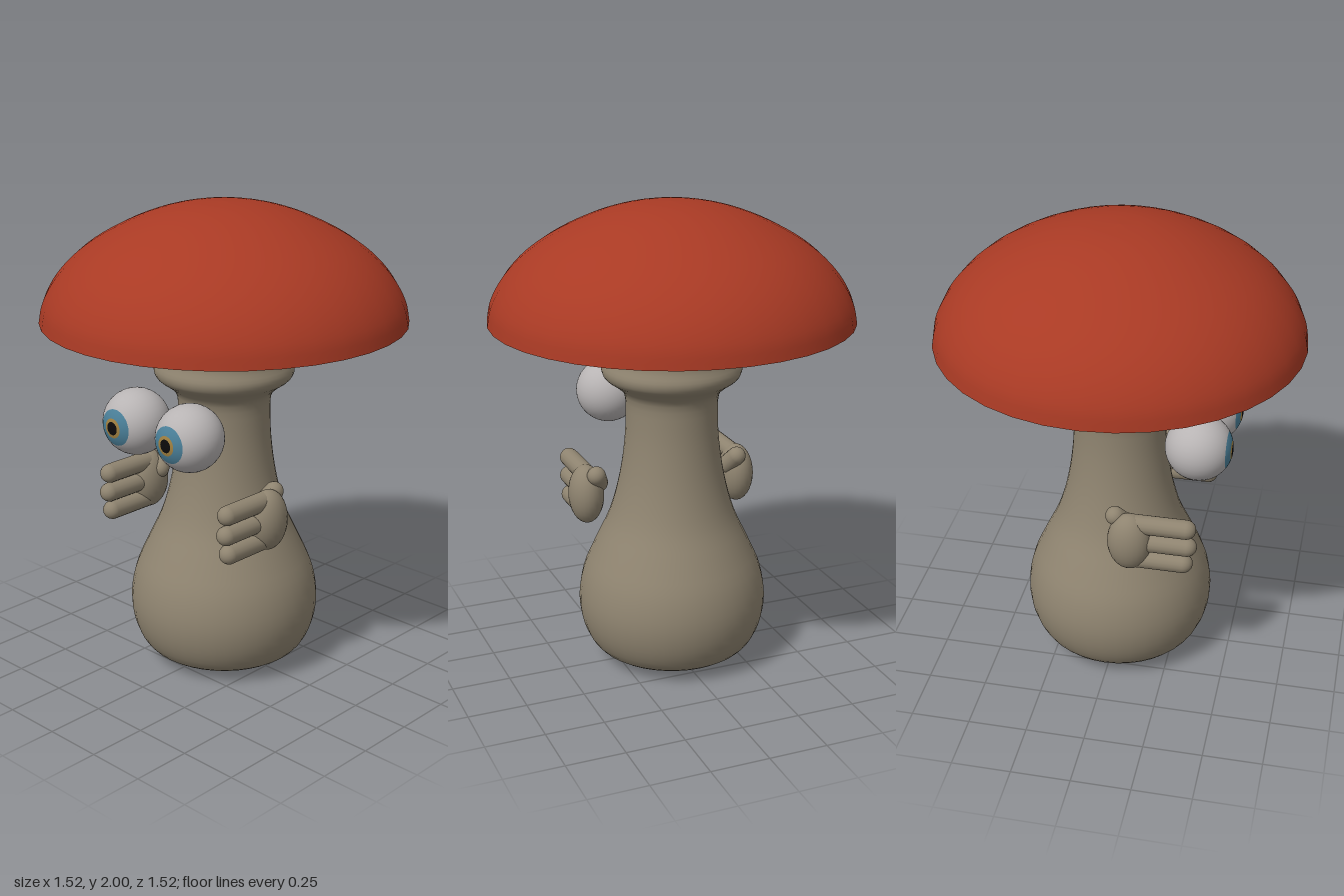
import * as THREE from 'three';

const paint = (color, side = THREE.FrontSide) => new THREE.MeshStandardMaterial({ color, side });
const skin = paint(0x8f8470);
const red = paint(0xa93a24);
const gill = paint(0x4a3833, THREE.DoubleSide);
const white = paint(0xb8b4b4);
const blue = paint(0x4a7f98);
const gold = paint(0xa08040);
const black = paint(0x0c0a0a);

function add(parent, name, geometry, material) {
  const mesh = new THREE.Mesh(geometry, material);
  mesh.name = name;
  parent.add(mesh);
  return mesh;
}

// Smooth surface of revolution through a few [radius, height] points
function turned(points, steps, segments) {
  const curve = new THREE.CatmullRomCurve3(points.map(([r, y]) => new THREE.Vector3(r, y, 0)));
  const profile = curve.getPoints(steps).map(p => new THREE.Vector2(Math.max(p.x, 0), p.y));
  return new THREE.LatheGeometry(profile, segments);
}

// Rounded finger between two points
function finger(parent, name, from, to, radius) {
  const a = new THREE.Vector3(...from), b = new THREE.Vector3(...to);
  const dir = b.clone().sub(a);
  const mesh = add(parent, name, new THREE.CapsuleGeometry(radius, dir.length(), 8, 16), skin);
  mesh.position.copy(a).add(b).multiplyScalar(0.5);
  mesh.quaternion.setFromUnitVectors(new THREE.Vector3(0, 1, 0), dir.normalize());
}

// Eyeball made of concentric coloured bands around the forward axis
function makeEye(name, x) {
  const eye = new THREE.Group();
  eye.name = name;
  const bands = [
    ['pupil', 0, 0.2, black],
    ['irisRing', 0.2, 0.3, gold],
    ['iris', 0.3, 0.58, blue],
    ['eyeWhite', 0.58, Math.PI, white],
  ];
  for (const [part, start, end, material] of bands) {
    const rows = Math.max(3, Math.ceil((end - start) * 8));
    const band = new THREE.SphereGeometry(0.14, 32, rows, 0, Math.PI * 2, start, end - start);
    add(eye, part, band.rotateX(Math.PI / 2), material);
  }
  eye.position.set(x, 1.12, 0.36);
  return eye;
}

// Floating hand: flattened palm, three forward fingers and a stubby thumb
function makeHand(name, s) {
  const hand = new THREE.Group();
  hand.name = name;
  const palm = add(hand, 'palm', new THREE.SphereGeometry(1, 24, 16), skin);
  palm.scale.set(0.075, 0.13, 0.092);
  palm.position.set(s * 0.35, 0.75, 0.11);
  for (const [y, tip] of [[0.835, 0.345], [0.75, 0.35], [0.665, 0.335]]) {
    finger(hand, 'finger', [s * 0.345, y, 0.13], [s * 0.345, y, tip], 0.041);
  }
  finger(hand, 'thumb', [s * 0.325, 0.85, 0.045], [s * 0.3, 0.8, 0.09], 0.04);
  return hand;
}

export function createModel() {
  const model = new THREE.Group();
  model.name = 'mushroomCreature';

  // Bulbous stem with a collar that flares into the cap
  add(model, 'stem', turned([
    [0, 0], [0.14, 0.008], [0.25, 0.025], [0.335, 0.065], [0.385, 0.15], [0.405, 0.27],
    [0.385, 0.4], [0.33, 0.53], [0.27, 0.66], [0.23, 0.8], [0.205, 0.95], [0.195, 1.1],
    [0.202, 1.2], [0.24, 1.24], [0.285, 1.275], [0.295, 1.31], [0.278, 1.36], [0.28, 1.42],
    [0.31, 1.465], [0.39, 1.498],
  ], 64, 40), skin);

  // Domed cap and its dark underside
  const cap = new THREE.Group();
  cap.name = 'cap';
  add(cap, 'capTop', turned([
    [0.76, 1.515], [0.745, 1.59], [0.705, 1.67], [0.64, 1.75], [0.55, 1.825],
    [0.42, 1.9], [0.28, 1.957], [0.14, 1.99], [0, 2],
  ], 28, 36), red);
  const under = [[0.2, 1.5], [0.4, 1.496], [0.68, 1.5], [0.76, 1.515]];
  add(cap, 'capUnderside', new THREE.LatheGeometry(under.map(p => new THREE.Vector2(...p)), 36), gill);
  model.add(cap);

  // Paired eyes and hands
  for (const [side, s] of [['left', 1], ['right', -1]]) {
    model.add(makeEye(side + 'Eye', s * 0.154));
    model.add(makeHand(side + 'Hand', s));
  }
  return model;
}
